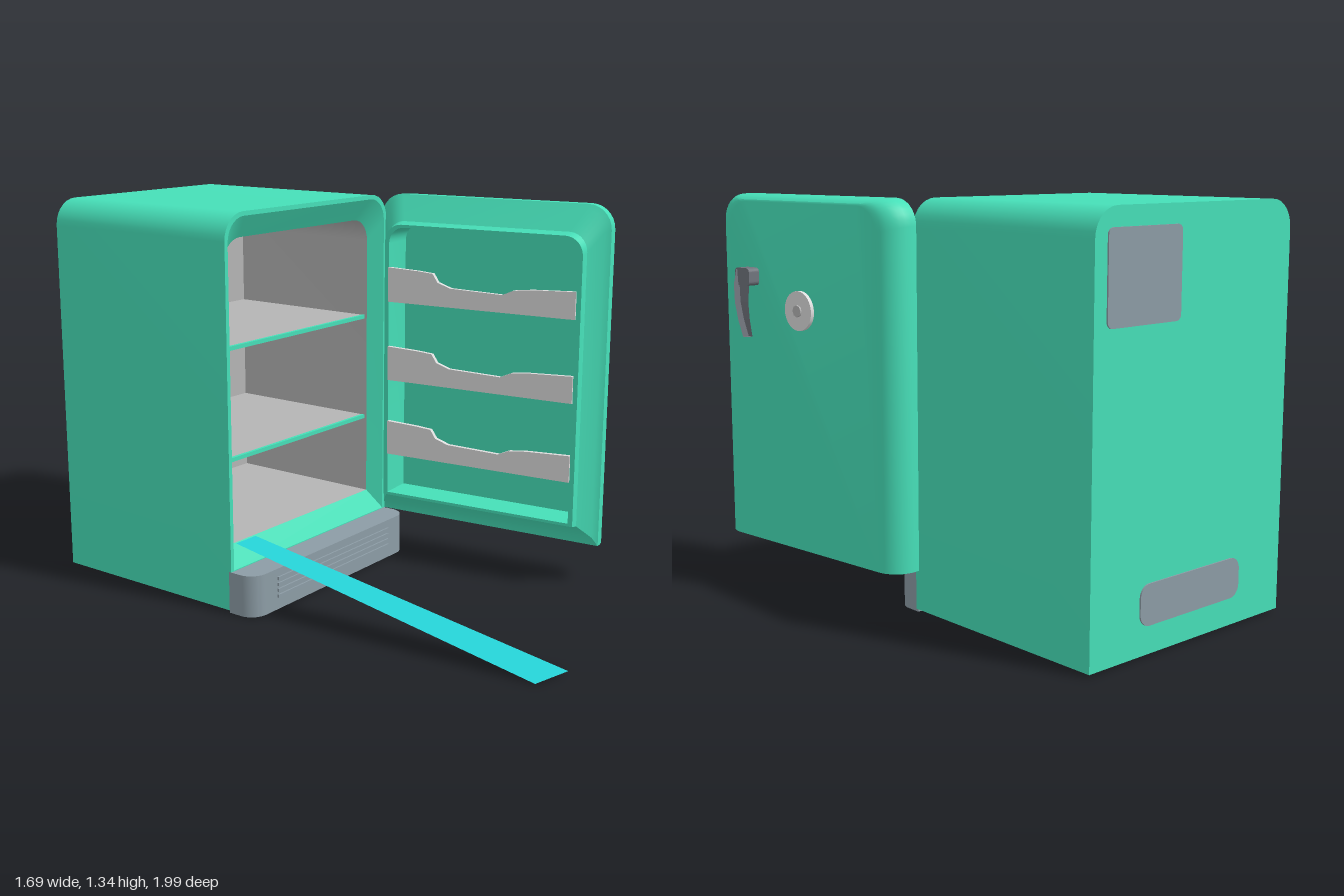
import * as THREE from 'three';
import { toCreasedNormals } from 'three/addons/utils/BufferGeometryUtils.js';

const material = (name, color) => new THREE.MeshStandardMaterial({ name, color });

function mesh(name, geometry, mat, parent, x = 0, y = 0, z = 0) {
  const m = new THREE.Mesh(geometry, mat);
  m.name = name;
  m.position.set(x, y, z);
  parent.add(m);
  return m;
}

// Upright section with rounded top corners and square bottom corners, counter-clockwise
function section(x0, x1, y0, y1, r, z, steps = 7) {
  const pts = [[x0, y0, z], [x1, y0, z]];
  for (const [cx, start] of [[x1 - r, 0], [x0 + r, Math.PI / 2]]) {
    for (let i = 0; i <= steps; i++) {
      const a = start + (i / steps) * Math.PI / 2;
      pts.push([cx + r * Math.cos(a), y1 - r + r * Math.sin(a), z]);
    }
  }
  return pts;
}

// Skin through successive sections, with optional flat end caps
function loft(rings, capStart, capEnd) {
  const pos = [], idx = [], n = rings[0].length;
  rings.forEach(r => r.forEach(p => pos.push(...p)));
  for (let i = 0; i < rings.length - 1; i++) {
    for (let j = 0; j < n; j++) {
      const a = i * n + j, b = i * n + (j + 1) % n;
      idx.push(a, b, b + n, a, b + n, a + n);
    }
  }
  const last = (rings.length - 1) * n;
  for (let j = 1; j < n - 1; j++) {
    if (capStart) idx.push(0, j + 1, j);
    if (capEnd) idx.push(last, last + j, last + j + 1);
  }
  const g = new THREE.BufferGeometry();
  g.setAttribute('position', new THREE.Float32BufferAttribute(pos, 3));
  g.setIndex(idx);
  return toCreasedNormals(g.toNonIndexed(), 0.5);
}

function roundedPlate(w, h, r, depth) {
  const s = new THREE.Shape(), x = w / 2, y = h / 2;
  s.absarc(x - r, y - r, r, 0, Math.PI / 2);
  s.absarc(-x + r, y - r, r, Math.PI / 2, Math.PI);
  s.absarc(-x + r, -y + r, r, Math.PI, Math.PI * 1.5);
  s.absarc(x - r, -y + r, r, Math.PI * 1.5, Math.PI * 2);
  return new THREE.ExtrudeGeometry(s, { depth, bevelEnabled: false, curveSegments: 5 });
}

const polygon = pts => new THREE.Shape(pts.map(p => new THREE.Vector2(...p)));

export function createModel() {
  const green = material('enamel green', 0x46dfb8);
  const lining = material('lining grey', 0xb4b4b4);
  const pale = material('pale grey', 0xdcdcdc);
  const steel = material('steel grey', 0x8c9ca5);
  const dark = material('dark metal', 0x70747c);
  const cyan = material('ramp cyan', 0x24d0d4);
  cyan.side = THREE.DoubleSide;

  const model = new THREE.Group();
  model.name = 'openRefrigerator';

  // Cabinet, with its origin at the middle of the front
  const cabinet = new THREE.Group();
  cabinet.name = 'cabinet';
  cabinet.position.set(-0.085, 0, -0.1);
  cabinet.rotation.y = 0.5;
  model.add(cabinet);
  mesh('cabinetShell', loft([
    section(-0.44, 0.44, 0.01, 1.34, 0.09, -0.78),
    section(-0.44, 0.44, 0.01, 1.34, 0.09, 0),
    section(-0.425, 0.425, 0.15, 1.325, 0.08, 0),
    section(-0.39, 0.39, 0.22, 1.25, 0.08, -0.05),
  ], true, false), green, cabinet);
  mesh('interiorLining', loft([
    section(-0.39, 0.39, 0.22, 1.25, 0.08, -0.05),
    section(-0.39, 0.39, 0.22, 1.25, 0.08, -0.65),
  ], false, true), lining, cabinet);

  // Interior shelves with green front edges
  for (const y of [0.507, 0.887]) {
    mesh('shelf', new THREE.BoxGeometry(0.78, 0.012, 0.58), lining, cabinet, 0, y, -0.36);
    mesh('shelfEdge', new THREE.BoxGeometry(0.78, 0.014, 0.012), green, cabinet, 0, y, -0.066);
  }

  // Plinth with rounded front corners and louvres
  const foot = new THREE.Shape();
  foot.moveTo(0.44, 0.01);
  foot.lineTo(-0.44, 0.01);
  foot.lineTo(-0.44, -0.04);
  foot.absarc(-0.38, -0.04, 0.06, Math.PI, Math.PI * 1.5);
  foot.absarc(0.38, -0.04, 0.06, Math.PI * 1.5, Math.PI * 2);
  const plinth = new THREE.ExtrudeGeometry(foot, { depth: 0.145, bevelEnabled: false, curveSegments: 6 });
  plinth.rotateX(-Math.PI / 2);
  mesh('plinth', toCreasedNormals(plinth, 0.5), steel, cabinet, 0, 0.002, 0);
  for (let i = 0; i < 4; i++) {
    mesh('louvre', new THREE.BoxGeometry(0.64, 0.011, 0.008), steel, cabinet, 0, 0.05 + i * 0.021, 0.102);
  }

  // Rear panels
  mesh('rearPanel', roundedPlate(0.31, 0.28, 0.02, 0.005), steel, cabinet, 0.235, 1.14, -0.785);
  mesh('rearVent', roundedPlate(0.46, 0.13, 0.04, 0.005), steel, cabinet, 0, 0.165, -0.785);

  // Door: x runs from the hinge, z runs from the outer face to the inner face
  const door = new THREE.Group();
  door.name = 'door';
  door.position.set(0.378, 0, -0.39);
  door.rotation.y = -0.968;
  model.add(door);
  const ring = (side, top, bottom, r, z) =>
    section(side, 0.88 - side, 0.145 + bottom, 1.34 - top, r, z);
  const rings = [];
  for (let i = 0; i <= 6; i++) {
    const a = (i / 6) * Math.PI / 2, inset = 0.08 * (1 - Math.sin(a));
    rings.push(ring(inset, inset * 0.3, 0, 0.085, 0.08 * (1 - Math.cos(a))));
  }
  rings.push(
    ring(0, 0, 0, 0.085, 0.1),
    ring(0.02, 0.015, 0.03, 0.075, 0.11),
    ring(0.06, 0.09, 0.08, 0.065, 0.16),
    ring(0.063, 0.1, 0.085, 0.065, 0.19),
    ring(0.08, 0.11, 0.095, 0.06, 0.19),
    ring(0.08, 0.11, 0.095, 0.06, 0.065),
  );
  mesh('doorShell', loft(rings, true, true), green, door);

  // Door bins with a dipped front
  const front = new THREE.ExtrudeGeometry(polygon([
    [0.08, 0], [0.8, 0], [0.8, 0.095], [0.64, 0.088], [0.57, 0.08], [0.53, 0.062],
    [0.33, 0.068], [0.28, 0.085], [0.26, 0.115], [0.2, 0.12], [0.08, 0.125],
  ]), { depth: 0.016, bevelEnabled: false });
  for (const y of [0.39, 0.67, 0.96]) {
    mesh('binFront', front, pale, door, 0, y, 0.18);
    mesh('binFloor', new THREE.BoxGeometry(0.72, 0.012, 0.12), pale, door, 0.44, y + 0.006, 0.125);
  }

  // Dial on the outer face
  const disc = new THREE.CylinderGeometry(0.066, 0.066, 0.014, 28).rotateX(Math.PI / 2);
  mesh('dial', disc, pale, door, 0.44, 0.965, -0.006);
  const hub = new THREE.CylinderGeometry(0.02, 0.02, 0.01, 8).rotateX(Math.PI / 2);
  mesh('dialHub', hub, lining, door, 0.44, 0.965, -0.014);

  // Latch handle: mounting head and a bowed, tapering lever
  mesh('handleMount', roundedPlate(0.075, 0.06, 0.015, 0.045), dark, door, 0.69, 1.065, -0.043);
  const lever = loft([
    [1.09, -0.035, 0.03], [1.04, -0.05, 0.026], [0.98, -0.052, 0.021],
    [0.92, -0.044, 0.016], [0.86, -0.03, 0.01],
  ].map(([y, z, w]) => [[-w, y, z - 0.012], [w, y, z - 0.012], [w, y, z + 0.012], [-w, y, z + 0.012]]
    .reverse()), true, true);
  // Sections run downwards, so the corner order is turned to face outwards
  lever.scale(-1, 1, 1);
  const p = lever.attributes.position.array;
  for (let i = 0; i < p.length; i += 9) {
    for (let k = 3; k < 6; k++) [p[i + k], p[i + k + 3]] = [p[i + k + 3], p[i + k]];
  }
  lever.computeVertexNormals();
  mesh('handleLever', lever, dark, door, 0.685, 0, 0);

  // Ramp from the cabinet sill to the ground
  const ramp = new THREE.BufferGeometry();
  ramp.setAttribute('position', new THREE.Float32BufferAttribute([
    -0.43, 0.224, 0.05, 0.165, 0.002, 0.998, 0.3, 0.006, 0.97, -0.345, 0.226, 0.01,
  ], 3));
  ramp.setIndex([0, 1, 2, 0, 2, 3]);
  ramp.computeVertexNormals();
  mesh('ramp', ramp, cyan, model);

  return model;
}
